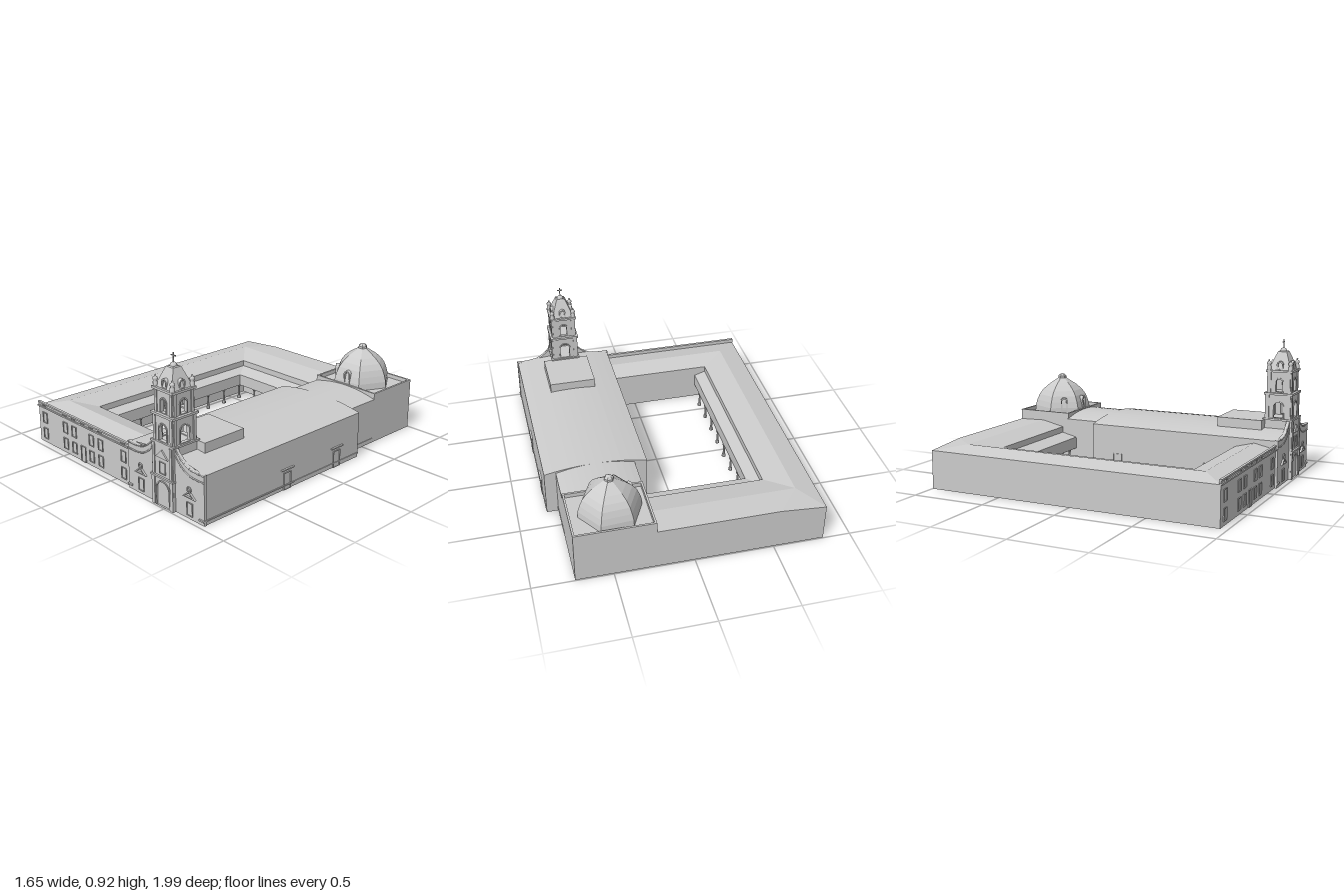
import * as THREE from 'three';

const mat = new THREE.MeshStandardMaterial({ color: 0xcccccc, flatShading: true, side: THREE.DoubleSide });
const smooth = new THREE.MeshStandardMaterial({ color: 0xcccccc, side: THREE.DoubleSide });

function add(parent, name, geo, x = 0, y = 0, z = 0, ry = 0, material = mat) {
  const m = new THREE.Mesh(geo, material);
  m.name = name;
  m.position.set(x, y, z);
  m.rotation.y = ry;
  parent.add(m);
  return m;
}

function group(parent, name, x = 0, y = 0, z = 0, ry = 0) {
  const g = new THREE.Group();
  g.name = name;
  g.position.set(x, y, z);
  g.rotation.y = ry;
  parent.add(g);
  return g;
}

// box given by its limits
function block(parent, name, x0, x1, y0, y1, z0, z1) {
  return add(parent, name, new THREE.BoxGeometry(x1 - x0, y1 - y0, z1 - z0),
    (x0 + x1) / 2, (y0 + y1) / 2, (z0 + z1) / 2);
}

// skin between rows of points
function loft(rows) {
  const p = [];
  for (let i = 0; i + 1 < rows.length; i++) {
    for (let j = 0; j + 1 < rows[i].length; j++) {
      const a = rows[i][j], b = rows[i][j + 1], c = rows[i + 1][j + 1], d = rows[i + 1][j];
      p.push(...a, ...b, ...c, ...a, ...c, ...d);
    }
  }
  const g = new THREE.BufferGeometry();
  g.setAttribute('position', new THREE.Float32BufferAttribute(p, 3));
  g.computeVertexNormals();
  return g;
}

const extrude = (shape, depth) => new THREE.ExtrudeGeometry(shape, { depth, bevelEnabled: false, curveSegments: 8 });

function outline(Type, w, y0, y1) {
  return new Type([[-w, y0], [w, y0], [w, y1], [-w, y1]].map(p => new THREE.Vector2(p[0] / 1, p[1])));
}

function arch(Type, r, y0, y1) {
  const s = new Type();
  s.moveTo(-r, y0);
  s.lineTo(r, y0);
  s.lineTo(r, y1 - r);
  s.absarc(0, y1 - r, r, 0, Math.PI, false);
  s.lineTo(-r, y0);
  return s;
}

// raised surround, centred on x, from y0 to y1
function surround(parent, name, x, y0, y1, z, w, t = 0.004) {
  const s = outline(THREE.Shape, w / 2 + t, y0 - t * (y0 > 0), y1 + t);
  s.holes.push(outline(THREE.Path, w / 2, y0, y1));
  return add(parent, name, extrude(s, 0.006), x, 0, z);
}

function buildConvent(root) {
  const g = group(root, 'convent');
  // station: outer wall, outer eave, ridge, inner eave, inner wall
  const st = (o, oy, r, i) => [[o[0], 0, o[1]], [o[0], oy, o[1]], [r[0], 0.28, r[1]], [i[0], 0.245, i[1]], [i[0], 0, i[1]]];
  add(g, 'wallsAndRoof', loft([
    st([0.15, 0.955], 0.25, [0.15, 0.81], [0.15, 0.68]),
    st([-0.825, 0.955], 0.25, [-0.685, 0.81], [-0.53, 0.68]),
    st([-0.825, -0.995], 0.25, [-0.685, -0.815], [-0.53, -0.65]),
    st([-0.53, -0.995], 0.275, [-0.685, -0.815], [-0.53, -0.65]),
    st([0.235, -0.995], 0.275, [0.235, -0.815], [0.235, -0.65])]));
  // lean-to walk around the courtyard
  const walk = (w, e) => [[w[0], 0.205, w[1]], [e[0], 0.18, e[1]], [e[0], 0.1, e[1]]];
  add(g, 'arcadeRoof', loft([walk([-0.53, 0.68], [-0.455, 0.68]),
    walk([-0.53, -0.65], [-0.455, -0.54]), walk([0.23, -0.65], [0.23, -0.54])]));
  const col = new THREE.LatheGeometry([[0.014, 0], [0.014, 0.012], [0.008, 0.022], [0.006, 0.085], [0.012, 0.1]]
    .map(p => new THREE.Vector2(...p)), 8);
  for (let i = 0; i < 8; i++) add(g, 'column', col, -0.46, 0, -0.535 + i * 0.155);
  for (let i = 1; i < 5; i++) add(g, 'column', col, -0.46 + i * 0.15, 0, -0.545);
  // street front
  block(g, 'cornice', -0.825, 0.15, 0.247, 0.256, 0.95, 0.966);
  block(g, 'parapet', -0.825, 0.15, 0.256, 0.278, 0.945, 0.957);
  block(g, 'parapetCap', -0.825, 0.15, 0.27, 0.28, 0.945, 0.962);
  for (const x of [-0.755, -0.525, -0.43, -0.245, -0.15, 0.08]) {
    surround(g, 'lowerWindow', x, 0.032, 0.1, 0.955, 0.04);
    surround(g, 'upperWindow', x, 0.143, 0.21, 0.955, 0.04);
  }
  for (const x of [-0.755, -0.525, -0.43, -0.335, -0.245, -0.15, 0.08])
    for (const d of [-0.014, 0, 0.014]) block(g, 'bracket', x + d - 0.004, x + d + 0.004, 0.256, 0.268, 0.957, 0.964);
  surround(g, 'streetDoor', -0.335, 0, 0.105, 0.955, 0.042);
}

// hall with a shallow curved roof, open below
function hall(parent, name, x0, x1, z0, z1) {
  const prof = [[x0, 0]];
  for (let i = 0; i <= 12; i++) prof.push([x0 + (x1 - x0) * i / 12, 0.34 - 0.035 * (i / 6 - 1) ** 2]);
  prof.push([x1, 0]);
  add(parent, name, loft([z0, z1].map(z => prof.map(p => [p[0], p[1], z]))));
  add(parent, name + 'End', new THREE.ShapeGeometry(new THREE.Shape(prof.map(p => new THREE.Vector2(...p)))), 0, 0, z0);
}

function buildNave(root) {
  const g = group(root, 'nave');
  hall(g, 'naveHall', 0.15, 0.81, -0.36, 0.96);
  hall(g, 'choirHall', 0.23, 0.735, -0.61, -0.36);
  block(g, 'roofBox', 0.325, 0.635, 0.31, 0.395, 0.49, 0.8);
  block(g, 'plinth', 0.808, 0.815, 0.024, 0.032, -0.36, 0.96);
  block(g, 'choirPlinth', 0.733, 0.739, 0.024, 0.032, -0.61, -0.36);
  for (const [side, z] of [[1, 0.3], [1, -0.15], [-1, 0.49], [-1, -0.17]]) {
    const d = group(g, 'sideDoor', side > 0 ? 0.81 : 0.15, 0, z, side * Math.PI / 2);
    surround(d, 'doorFrame', 0, 0, 0.108, 0, 0.055);
    if (side > 0) block(d, 'doorHood', -0.052, 0.052, 0.13, 0.138, 0, 0.012);
  }
}

function buildDome(root) {
  const g = group(root, 'domedChapel');
  const [x0, x1, z0, z1, h] = [0.235, 0.735, -0.995, -0.605, 0.345];
  const ring = (y, d) => [[x0 + d, y, z0 + d], [x1 - d, y, z0 + d], [x1 - d, y, z1 - d], [x0 + d, y, z1 - d], [x0 + d, y, z0 + d]];
  add(g, 'chapelWalls', loft([ring(0, 0), ring(h, 0), ring(h, 0.013), ring(0.318, 0.013)]));
  add(g, 'chapelRoof', new THREE.PlaneGeometry(x1 - x0, z1 - z0).rotateX(-Math.PI / 2), (x0 + x1) / 2, 0.318, (z0 + z1) / 2);
  // six-sided bell-shaped dome
  const prof = [[0.2, 0.318], [0.197, 0.36], [0.185, 0.4], [0.168, 0.44], [0.142, 0.475], [0.105, 0.508],
    [0.07, 0.532], [0.042, 0.55], [0.03, 0.558], [0.03, 0.572], [0.018, 0.585], [0, 0.592]];
  const rows = prof.map(([r, y]) => Array.from({ length: 7 }, (_, i) => {
    const a = i * Math.PI / 3 - 0.07;
    return [r * Math.cos(a), y, r * Math.sin(a)];
  }));
  add(g, 'dome', loft(rows), 0.475, 0, -0.79);
  for (let i = 0; i < 2; i++) {
    const a = Math.PI / 2 - 0.07 + i * Math.PI / 3;
    const d = group(g, 'domeWindow', 0.475 + 0.15 * Math.cos(a), 0, -0.79 + 0.15 * Math.sin(a), Math.PI / 2 - a);
    const s = arch(THREE.Shape, 0.024, 0.33, 0.435);
    s.holes.push(arch(THREE.Path, 0.015, 0.345, 0.425));
    add(d, 'windowHood', extrude(s, 0.05), 0, 0, -0.025);
  }
}

function buildFacade(root) {
  const g = group(root, 'facade', 0.48, 0, 0);
  const curve = [[0.335, 0.31], [0.24, 0.31], [0.19, 0.322], [0.15, 0.345], [0.115, 0.375], [0.095, 0.4]];
  const top = [...curve, ...curve.map(p => [-p[0], p[1]]).reverse()];
  const pts = [[-0.335, 0], [0.335, 0], ...top].map(p => new THREE.Vector2(...p));
  add(g, 'facadeWall', extrude(new THREE.Shape(pts), 0.02), 0, 0, 0.95);
  for (const s of [-1, 1]) {
    for (const drop of [0.004, 0.045]) {
      const path = new THREE.CatmullRomCurve3(curve.map(p => new THREE.Vector3(s * p[0], p[1] - drop, 0.97)));
      add(g, 'curvedMoulding', new THREE.TubeGeometry(path, 20, 0.005, 6), 0, 0, 0, 0, smooth);
    }
    // niche windows under small pediments
    const x = s * 0.215;
    surround(g, 'facadeWindow', x, 0.025, 0.1, 0.97, 0.042);
    const ped = new THREE.Shape([[-0.053, 0.135], [0.053, 0.135], [0, 0.178]].map(p => new THREE.Vector2(...p)));
    ped.holes.push(new THREE.Path([[-0.034, 0.142], [0.034, 0.142], [0, 0.168]].map(p => new THREE.Vector2(...p))));
    add(g, 'windowPediment', extrude(ped, 0.012), x, 0, 0.97);
    add(g, 'pedimentRing', new THREE.TorusGeometry(0.015, 0.005, 6, 16), x, 0.185, 0.976, 0, smooth);
    block(g, 'cornerPlinth', s * 0.318 - 0.02, s * 0.318 + 0.02, 0.025, 0.035, 0.95, 0.98);
    // portal pilasters
    block(g, 'portalPilaster', s * 0.08 - 0.012, s * 0.08 + 0.012, 0, 0.185, 0.98, 0.992);
    block(g, 'upperPilaster', s * 0.075 - 0.01, s * 0.075 + 0.01, 0.195, 0.39, 0.98, 0.99);
  }
  const portal = outline(THREE.Shape, 0.093, 0, 0.4);
  portal.holes.push(arch(THREE.Path, 0.056, 0.001, 0.16));
  add(g, 'portal', extrude(portal, 0.018), 0, 0, 0.966);
  const ring = arch(THREE.Shape, 0.062, 0, 0.166);
  ring.holes.push(arch(THREE.Path, 0.054, 0.001, 0.158));
  add(g, 'portalArch', extrude(ring, 0.008), 0, 0, 0.982);
  block(g, 'portalCornice', -0.098, 0.098, 0.183, 0.194, 0.97, 0.997);
  surround(g, 'choirWindow', 0, 0.213, 0.28, 0.983, 0.045);
  const gable = new THREE.Shape([[-0.053, 0.31], [0.053, 0.31], [0, 0.36]].map(p => new THREE.Vector2(...p)));
  add(g, 'portalPediment', extrude(gable, 0.01), 0, 0, 0.983);
}

function buildTower(root) {
  const g = group(root, 'bellTower', 0.48, 0, 0.888);
  const sq = (h, y) => [[-h, y, -h], [h, y, -h], [h, y, h], [-h, y, h], [-h, y, -h]];
  const slab = (name, h, y0, y1) => block(g, name, -h, h, y0, y1, -h, h);
  add(g, 'towerBase', loft([sq(0.09, 0), sq(0.09, 0.4)]));
  slab('baseCornice', 0.1, 0.392, 0.404);
  // two belfry stages with an arch on each side
  const stage = (name, h, y0, y1, r, top) => {
    const wall = outline(THREE.Shape, h, y0, y1);
    wall.holes.push(arch(THREE.Path, r, y0 + 0.01, top));
    const trim = arch(THREE.Shape, r + 0.008, y0 + 0.005, top + 0.008);
    trim.holes.push(arch(THREE.Path, r, y0 + 0.01, top));
    for (let i = 0; i < 4; i++) {
      const s = group(g, name + 'Side', 0, 0, 0, i * Math.PI / 2);
      add(s, 'archedWall', extrude(wall, 0.02), 0, 0, h - 0.02);
      add(s, 'archTrim', extrude(trim, 0.005), 0, 0, h);
      for (const e of [-1, 1]) block(s, 'pilaster', e * (h - 0.013) - 0.01, e * (h - 0.013) + 0.01, y0, y1, h, h + 0.006);
    }
  };
  stage('lowerBelfry', 0.086, 0.4, 0.565, 0.032, 0.512);
  slab('lowerCornice', 0.097, 0.56, 0.574);
  stage('upperBelfry', 0.078, 0.572, 0.715, 0.022, 0.665);
  slab('upperCornice', 0.09, 0.71, 0.724);
  // tapering spire with dormers
  add(g, 'spire', loft([sq(0.076, 0.722), sq(0.068, 0.742), sq(0.052, 0.785), sq(0.036, 0.825), sq(0.03, 0.84), sq(0.022, 0.845)]));
  const dormer = arch(THREE.Shape, 0.022, 0.722, 0.782);
  dormer.holes.push(arch(THREE.Path, 0.013, 0.73, 0.773));
  const urn = new THREE.LatheGeometry([[0.015, 0], [0.015, 0.025], [0.009, 0.03], [0.016, 0.042], [0.014, 0.052], [0.005, 0.058], [0.006, 0.066], [0, 0.072]]
    .map(p => new THREE.Vector2(...p)), 10);
  for (let i = 0; i < 4; i++) {
    const s = group(g, 'spireSide', 0, 0, 0, i * Math.PI / 2);
    add(s, 'dormer', extrude(dormer, 0.03), 0, 0, 0.045);
    add(s, 'urn', urn, 0.073, 0.722, 0.073, 0, smooth);
  }
  add(g, 'spireCap', new THREE.SphereGeometry(0.022, 12, 8), 0, 0.843, 0, 0, smooth);
  block(g, 'crossPost', -0.003, 0.003, 0.86, 0.92, -0.003, 0.003);
  block(g, 'crossArm', -0.018, 0.018, 0.9, 0.906, -0.003, 0.003);
}

export function createModel() {
  const root = new THREE.Group();
  root.name = 'missionChurch';
  buildConvent(root);
  buildNave(root);
  buildDome(root);
  buildFacade(root);
  buildTower(root);
  return root;
}
